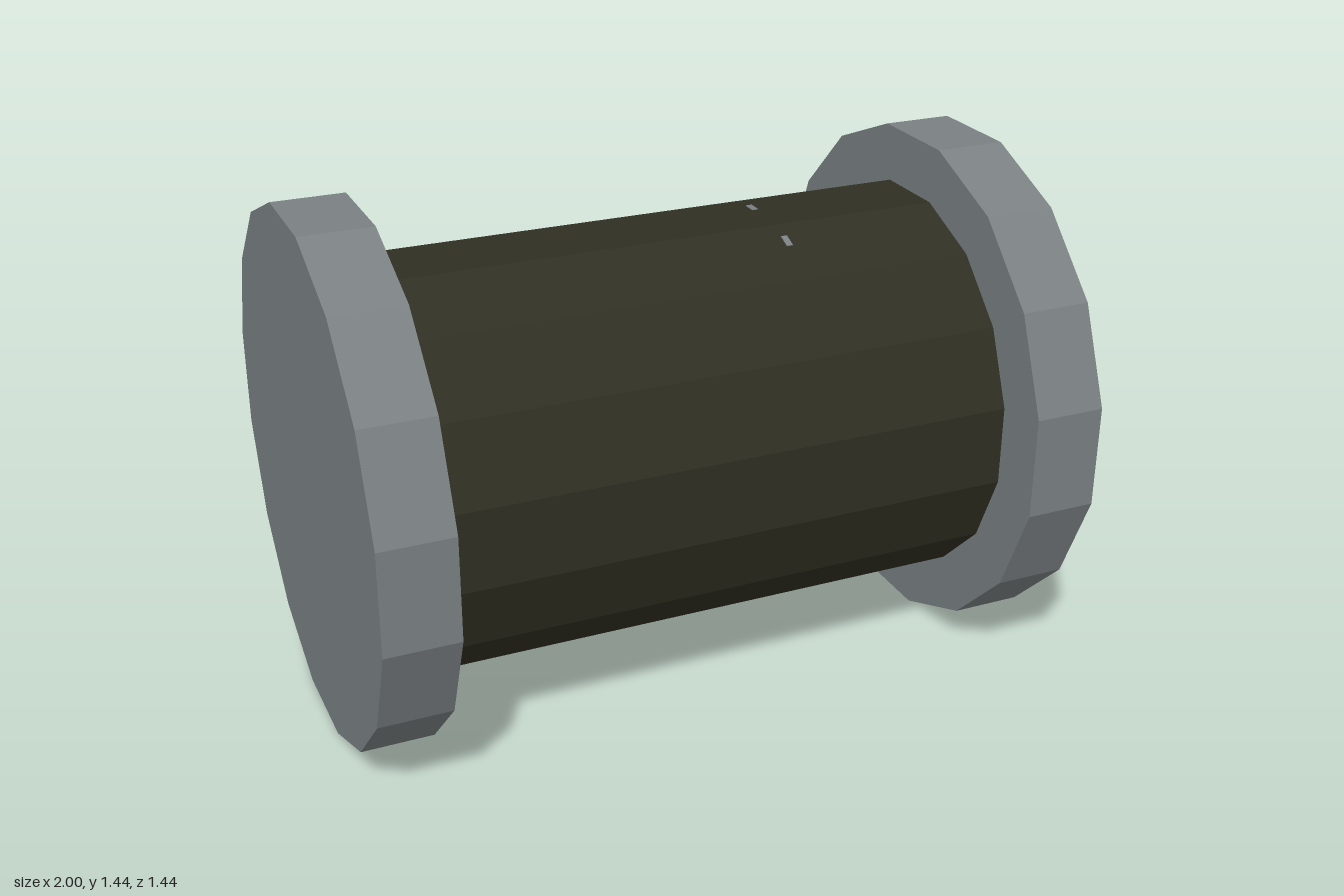
import * as THREE from 'three';

const SIDES = 16;
const CENTER_Y = 0.72;

// Sixteen-sided prism lying along x, with a flat facet on top; size is centre to flat
function prism(name, apothem, length, x, material, open = false) {
  const radius = apothem / Math.cos(Math.PI / SIDES);
  const geometry = new THREE.CylinderGeometry(radius, radius, length, SIDES, 1, open, Math.PI / SIDES);
  geometry.rotateZ(Math.PI / 2);
  const mesh = new THREE.Mesh(geometry, material);
  mesh.name = name;
  mesh.position.set(x, CENTER_Y, 0);
  return mesh;
}

export function createModel() {
  const steel = new THREE.MeshStandardMaterial({ color: 0x7a8183, flatShading: true });
  steel.name = 'grey steel';
  const dark = new THREE.MeshStandardMaterial({ color: 0x302f23, flatShading: true });
  dark.name = 'dark olive';

  const model = new THREE.Group();
  model.name = 'spool';

  // Central drum and the two end flanges
  model.add(prism('drum', 0.56, 1.6, 0, dark, true));
  model.add(prism('leftFlange', CENTER_Y, 0.2, 0.9, steel));
  model.add(prism('rightFlange', CENTER_Y, 0.2, -0.9, steel));

  // Three tiny steel marks lying flat on the upper facets
  for (const [z, facet] of [[-0.255, -1], [-0.042, 0], [0.175, 1]]) {
    const angle = facet * Math.PI / 8;
    const mark = new THREE.Mesh(new THREE.BoxGeometry(0.018, 0.004, 0.04), steel);
    mark.name = 'mark';
    mark.rotation.x = angle;
    const y = (0.56 - z * Math.sin(angle)) / Math.cos(angle);
    mark.position.set(0.32, CENTER_Y + y, z);
    model.add(mark);
  }
  return model;
}
